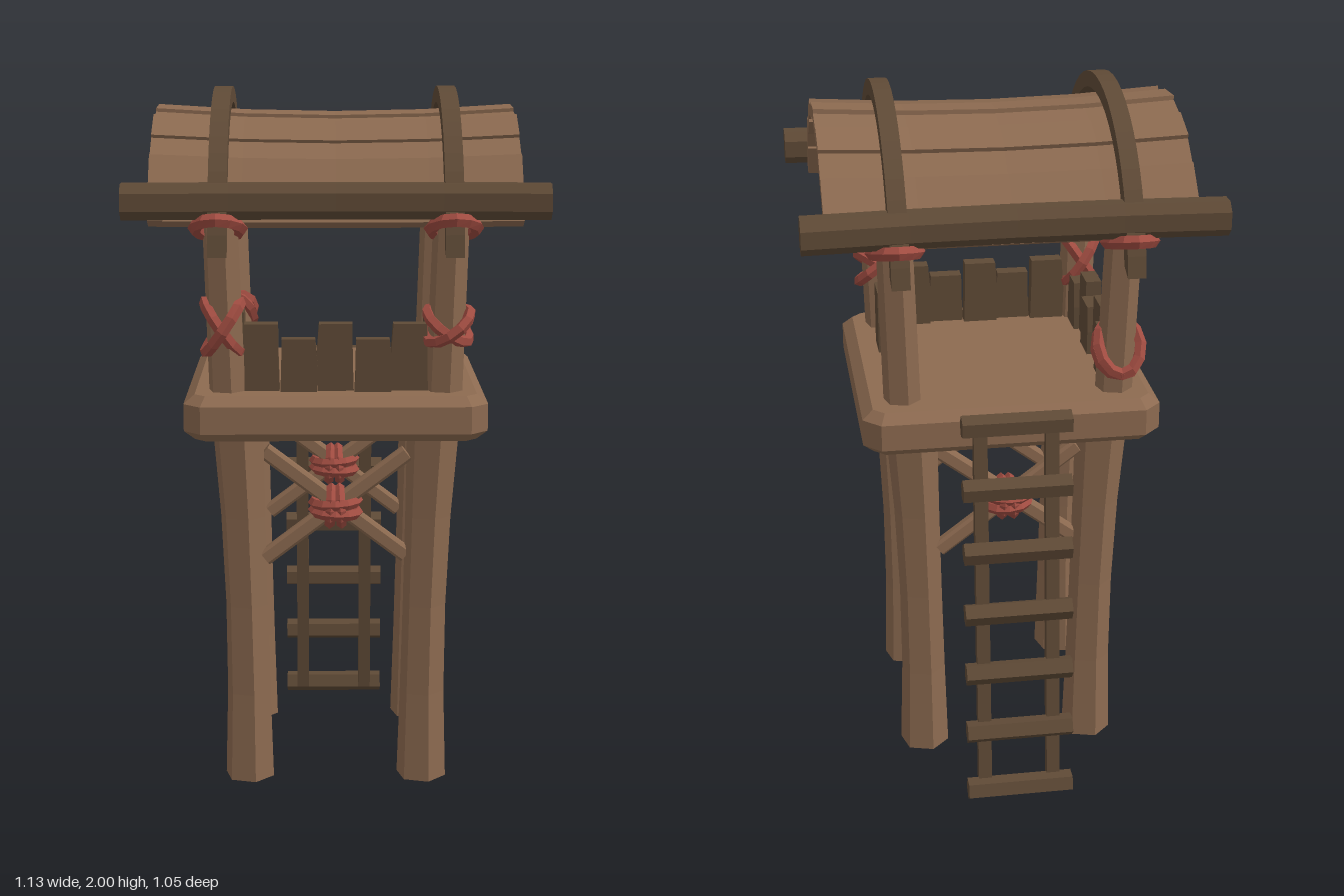
import * as THREE from 'three';

const lightWood = new THREE.MeshStandardMaterial({ color: 0x8c6a50 });
lightWood.name = 'light wood';
const darkWood = new THREE.MeshStandardMaterial({ color: 0x5f4a36 });
darkWood.name = 'dark wood';
const redRope = new THREE.MeshStandardMaterial({ color: 0xa04c41 });
redRope.name = 'red rope';

const ZC = 0.035;      // tower centre in z
const ROOF_Y = 1.51;   // axis height of the barrel roof
const SIDES = [-1, 1];

// Faceted mesh; an optional rule moves each vertex first
function part(parent, name, geo, mat, rule) {
  if (rule) {
    const p = geo.attributes.position, v = new THREE.Vector3();
    for (let i = 0; i < p.count; i++) {
      v.fromBufferAttribute(p, i);
      rule(v);
      p.setXYZ(i, v.x, v.y, v.z);
    }
  }
  const flat = geo.index ? geo.toNonIndexed() : geo;
  flat.computeVertexNormals();
  const mesh = new THREE.Mesh(flat, mat);
  mesh.name = name;
  parent.add(mesh);
  return mesh;
}

// Rectangle with cut corners
function cutRect(w, h, c) {
  const a = w / 2, b = h / 2;
  return new THREE.Shape([
    [-a + c, -b], [a - c, -b], [a, -b + c], [a, b - c],
    [a - c, b], [-a + c, b], [-a, b - c], [-a, -b + c],
  ].map(([x, y]) => new THREE.Vector2(x, y)));
}

// Chamfered bar lying along x, centred
function barX(length, h, d, c, steps = 1) {
  return new THREE.ExtrudeGeometry(cutRect(d, h, c), { depth: length, steps, bevelEnabled: false })
    .translate(0, 0, -length / 2).rotateY(Math.PI / 2);
}

// Loop of rope: an elliptical ring lying flat, then tilted
function ropeRing(parent, name, pos, rx, rz, tilt, thick = 0.017) {
  const geo = new THREE.TorusGeometry(1, 0.001, 5, 12).rotateX(Math.PI / 2);
  const ring = part(parent, name, geo, redRope, (v) => {
    const a = Math.atan2(v.z, v.x);
    const out = (Math.hypot(v.x, v.z) - 1) / 0.001 * thick;
    v.set(Math.cos(a) * (rx + out), v.y / 0.001 * thick, Math.sin(a) * (rz + out));
  });
  ring.position.set(...pos);
  ring.rotation.set(...tilt);
  return ring;
}

function addFrame(g) {
  for (const sx of SIDES) for (const sz of SIDES) {
    // Leg: waisted, leaning outward near the top
    part(g, 'leg', new THREE.CylinderGeometry(1, 1, 1.04, 6, 4).rotateY(Math.PI / 12), lightWood, (v) => {
      const t = v.y / 1.04 + 0.5;
      const r = 0.072 - 0.045 * t * (1 - t) + 0.002 * t;
      const lean = 0.24 + 0.032 * t * t + 0.008 * (1 - t);
      v.set(sx * lean + v.x * r, 0.04 + t * 1.04, ZC + sz * (0.25 + 0.014 * t) + v.z * r);
    });
    // Upper post
    part(g, 'roofPost', new THREE.CylinderGeometry(0.05, 0.052, 0.54, 6, 2).rotateY(Math.PI / 12), lightWood, (v) => {
      const t = v.y / 0.54 + 0.5;
      v.set(v.x + sx * (0.298 + 0.016 * t), 1.17 + v.y + 0.27, v.z + ZC + sz * (0.293 + 0.02 * t));
    });
    // Lashing under the roof beam, higher on the outside
    ropeRing(g, 'beamLashing', [sx * 0.315, 1.638, ZC + sz * 0.365], 0.062, 0.11, [-sz * 0.29, 0, 0], 0.019);
  }

  // Platform slab with bevelled rim
  const slab = new THREE.ExtrudeGeometry(cutRect(0.77, 0.77, 0.03), {
    depth: 0.075, bevelThickness: 0.025, bevelSize: 0.03, bevelSegments: 1,
  }).rotateX(-Math.PI / 2).translate(0, 1.085, ZC);
  part(g, 'platform', slab, lightWood);

  // Crossed braces with rope knots, front and back
  for (const sz of SIDES) {
    const z = ZC + sz * 0.257;
    for (const s of SIDES) {
      const brace = part(g, 'crossBrace', barX(0.5, 0.045, 0.035, 0.008), lightWood);
      brace.position.set(0, 0.85, z + s * 0.015);
      brace.rotation.z = s * 0.65;
    }
    for (const s of SIDES) {
      ropeRing(g, 'braceKnot', [0, 0.845 + s * 0.014, z], 0.062, 0.06, [0, 0, s * 0.05], 0.016);
      ropeRing(g, 'braceKnot', [s * 0.014, 0.845, z], 0.052, 0.058, [0, 0, Math.PI / 2 + s * 0.06], 0.015);
    }
  }
}

// Fence plank with worn top; turn swings it onto a side wall
function fencePlank(g, x, z, height, turn, i) {
  const plank = part(g, 'fencePlank', new THREE.BoxGeometry(0.1, height, 0.045, 1, 2, 1), darkWood, (v) => {
    if (v.y > 0.01) v.x *= 0.92;
    if (Math.abs(v.y) < 0.01) v.x += 0.003 * (i % 2 ? 1 : -1);
  });
  plank.position.set(x, 1.18 + height / 2, z);
  plank.rotation.y = turn;
}

function addFence(g) {
  for (let i = 0; i < 5; i++) {
    const h = i % 2 ? 0.15 : 0.19;
    const u = (i - 2) * 0.102;
    const step = i % 2 ? 0.008 : -0.008;
    fencePlank(g, u, ZC + 0.295 + step, h, 0, i);
    for (const s of SIDES) {
      fencePlank(g, s * (0.3 + step), ZC + u, i % 2 ? 0.19 : 0.15, s * Math.PI / 2, i);
    }
  }
}

function addRopes(g) {
  // Crossed wraps on three of the posts
  for (const s of SIDES) {
    ropeRing(g, 'postWrap', [-0.308, 1.362, 0.335 + s * 0.006], 0.085, 0.062, [0.1, 0, s * 0.97]);
    ropeRing(g, 'postWrap', [0.308, 1.365, 0.335 + s * 0.006], 0.07, 0.062, [0.35, 0, s * 0.6]);
    ropeRing(g, 'postWrap', [-0.306, 1.31, -0.272], 0.062, 0.082, [-0.85, 0, s * 0.3]);
  }
}

function addRoof(g) {
  const roof = new THREE.Group();
  roof.name = 'roof';
  roof.position.set(0, ROOF_Y, ZC);
  g.add(roof);

  // Boards wrapped round the barrel, pinched in the middle
  const count = 11, from = 0.37, span = Math.PI - 2 * from;
  for (let i = 0; i < count; i++) {
    const a = from + span * (i + 0.5) / count;
    const r = 0.41 + (i % 2 ? 0.006 : -0.004);
    const geo = new THREE.BoxGeometry(1, 0.036, 0.104, 4, 1, 1);
    geo.rotateX(i % 2 ? 0.07 : -0.05).translate(0, r, 0).rotateX(Math.PI / 2 - a);
    part(roof, 'roofBoard', geo, lightWood, (v) => {
      const k = 1 - 0.045 * (1 - 4 * v.x * v.x);
      v.y *= k;
      v.z *= k;
    });
  }

  for (const s of SIDES) {
    // Curved outer rib
    const arc = new THREE.Shape();
    arc.absarc(0, 0, 0.49, 0.13, Math.PI - 0.13, false);
    arc.absarc(0, 0, 0.445, Math.PI - 0.19, 0.19, true);
    const rib = new THREE.ExtrudeGeometry(arc, { depth: 0.05, bevelEnabled: false, curveSegments: 12 })
      .translate(0, 0, -0.025).rotateY(Math.PI / 2);
    part(roof, 'roofRib', rib, darkWood).position.x = s * 0.312;

    // Gable panel and the tie bar beneath it
    const gable = new THREE.Shape();
    gable.absarc(0, 0, 0.385, 0.47, Math.PI - 0.47, false);
    const panel = new THREE.ExtrudeGeometry(gable, { depth: 0.03, bevelEnabled: false, curveSegments: 12 })
      .translate(0, 0, -0.015).rotateY(Math.PI / 2);
    part(roof, 'gablePanel', panel, lightWood).position.x = s * 0.31;
    const tie = part(roof, 'tieBar', barX(0.7, 0.055, 0.06, 0.012), lightWood);
    tie.rotation.y = Math.PI / 2;
    tie.position.set(s * 0.312, 0.165, 0);

    // Long eave beam, bowed inward
    const beam = part(roof, 'eaveBeam', barX(1.13, 0.095, 0.092, 0.024, 4), darkWood, (v) => {
      v.z -= s * 0.02 * (1 - (v.x / 0.565) ** 2);
    });
    beam.position.set(0, 0.205, s * 0.425);
  }
}

function addLadder(g) {
  const ladder = new THREE.Group();
  ladder.name = 'ladder';
  g.add(ladder);
  const lean = Math.atan2(0.088, 1.13);
  for (const s of SIDES) {
    const rail = part(ladder, 'ladderRail', new THREE.BoxGeometry(0.038, 1.14, 0.032), darkWood);
    rail.position.set(s * 0.1, 0.6, -0.43);
    rail.rotation.x = lean;
  }
  for (let i = 0; i < 7; i++) {
    const rung = part(ladder, 'ladderRung',
      new THREE.CylinderGeometry(0.033, 0.033, 0.305, 5).rotateZ(Math.PI / 2), darkWood);
    rung.position.set(0, 0.037 + i * 0.186, -0.498 + i * 0.0155);
    rung.rotation.x = 0.3 + i * 0.15;
  }
}

export function createModel() {
  const g = new THREE.Group();
  g.name = 'watchtower';
  addFrame(g);
  addFence(g);
  addRopes(g);
  addRoof(g);
  addLadder(g);
  return g;
}
